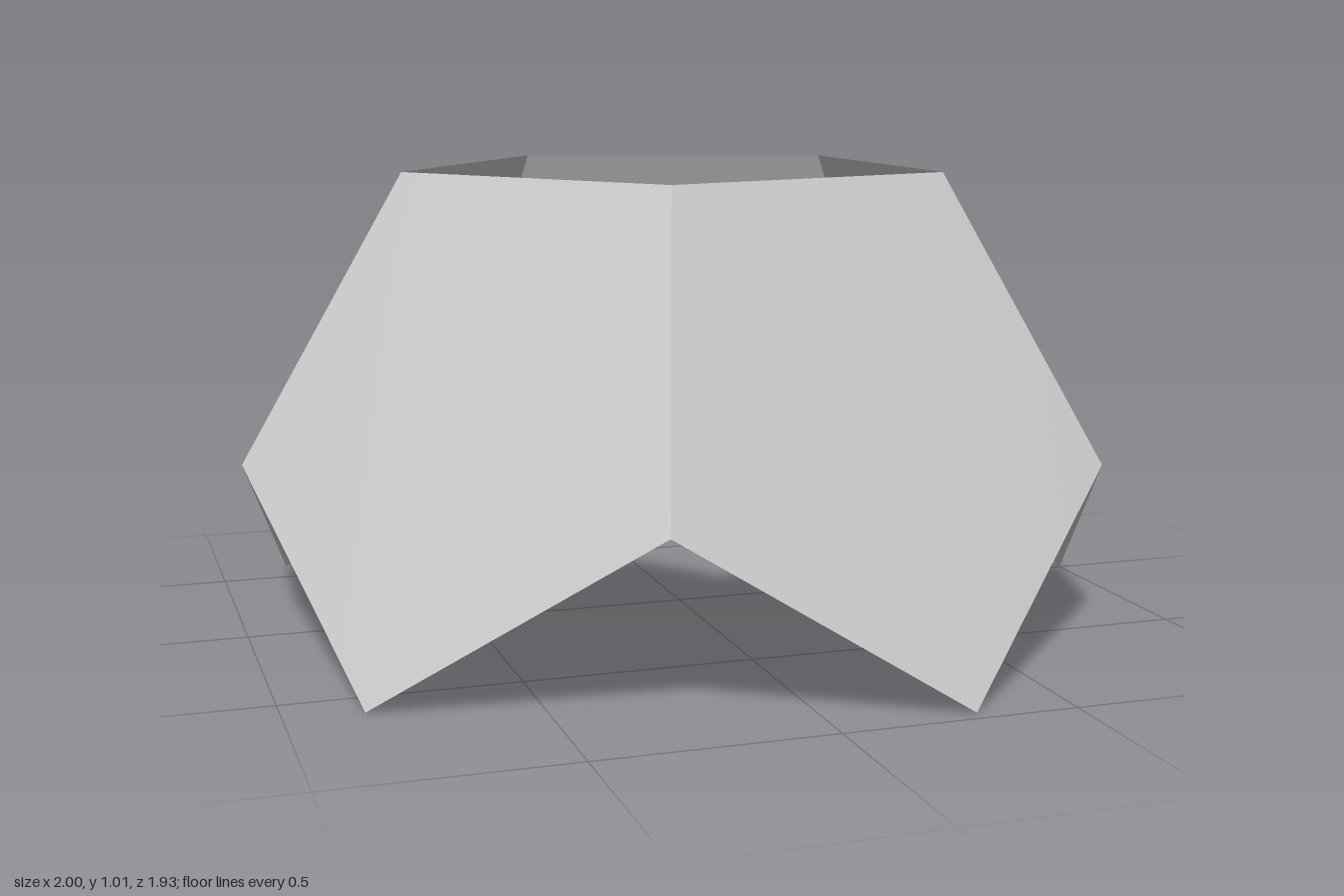
import * as THREE from 'three';

const CENTRE_X = -0.017;
const STEP = Math.PI / 5;

// Point on a horizontal ring, at an angle measured from +x towards +z
function ringPoint(radius, y, angle) {
  return [CENTRE_X + radius * Math.cos(angle), y, radius * Math.sin(angle)];
}

// Five-sided panel: a tip at the bottom, two shoulders and a flat top edge
function panelGeometry(angle) {
  const corners = [
    ringPoint(1.017, 0, angle),
    ringPoint(0.983, 0.387, angle - STEP),
    ringPoint(0.62, 1.015, angle - STEP),
    ringPoint(0.62, 1.015, angle + STEP),
    ringPoint(0.983, 0.387, angle + STEP),
  ];
  const geometry = new THREE.BufferGeometry();
  geometry.setAttribute('position', new THREE.Float32BufferAttribute(corners.flat(), 3));
  geometry.setIndex([0, 1, 2, 0, 2, 3, 0, 3, 4]);
  geometry.computeVertexNormals();
  return geometry;
}

export function createModel() {
  const model = new THREE.Group();
  model.name = 'openPentagonShade';
  const material = new THREE.MeshStandardMaterial({ color: 0xcccccc, side: THREE.DoubleSide });

  // Ring of five panels, open at the top and bottom
  for (let i = 0; i < 5; i++) {
    const panel = new THREE.Mesh(panelGeometry(2 * STEP * i), material);
    panel.name = `sidePanel${i + 1}`;
    model.add(panel);
  }
  return model;
}
